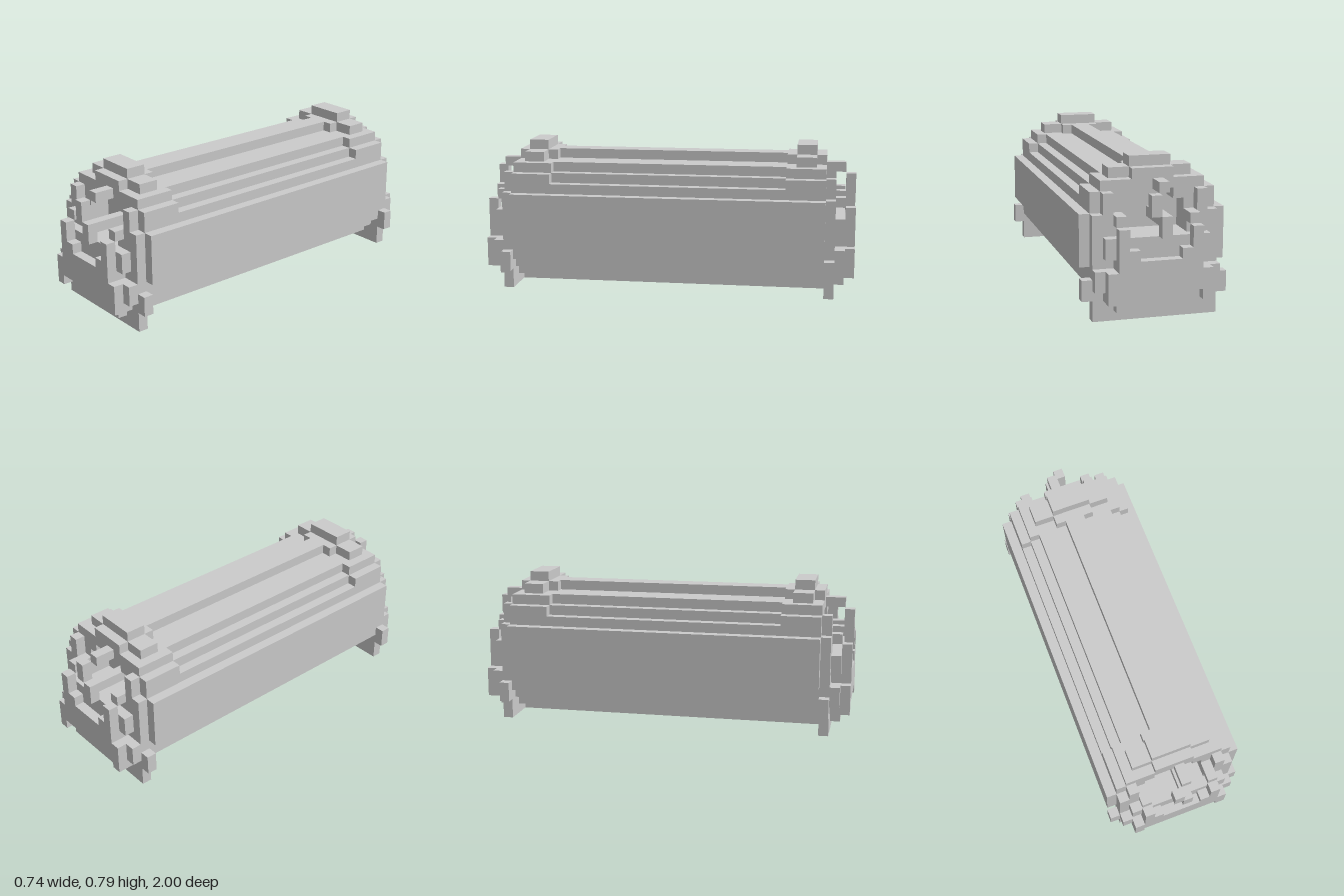
import * as THREE from 'three';

const U = 1 / 19; // one block

export function createModel() {
  const model = new THREE.Group();
  const mat = new THREE.MeshStandardMaterial({ color: 0xcccccc, flatShading: true });

  const box = (parent, name, x0, x1, y0, y1, z0, z1) => {
    const g = new THREE.BoxGeometry((x1 - x0) * U, (y1 - y0) * U, (z1 - z0) * U);
    g.translate((x0 + x1) / 2 * U, (y0 + y1) / 2 * U, (z0 + z1) / 2 * U);
    const m = new THREE.Mesh(g, mat);
    m.name = name;
    parent.add(m);
  };
  const pair = (parent, name, x0, x1, ...rest) => {
    box(parent, name + 'Left', x0, x1, ...rest);
    box(parent, name + 'Right', -x1, -x0, ...rest);
  };

  // Mirrored stepped outline from rows of [half width, top], starting at y = base
  const outline = (base, rows, Type) => {
    const right = [];
    let y = base;
    for (const [w, top] of rows) {
      right.push([w, y], [w, top]);
      y = top;
    }
    const left = right.map(([x, v]) => [-x, v]).reverse();
    return new Type([...right, ...left].map(([x, v]) => new THREE.Vector2(x * U, v * U)));
  };
  const slab = (parent, name, shape, z0, z1) => {
    const g = new THREE.ExtrudeGeometry(shape, { depth: (z1 - z0) * U, bevelEnabled: false });
    g.translate(0, 0, z0 * U);
    const m = new THREE.Mesh(g, mat);
    m.name = name;
    parent.add(m);
  };

  const lower = [[2, 1], [4, 2], [5, 3], [6, 5], [7, 10]];
  const middleRows = [...lower, [6, 11], [5, 12], [4, 13], [1, 14]];
  const endRows = [...lower, [6, 12], [5, 13], [2, 14]];

  // Long stepped barrel between the end sections
  slab(model, 'barrel', outline(0, middleRows, THREE.Shape), -12, 12);

  const buildEnd = (name) => {
    const end = new THREE.Group();
    end.name = name;

    // Thicker end section, hollow at its mouth
    slab(end, 'endSection', outline(0, endRows, THREE.Shape), 12, 14);
    const mouth = outline(0, endRows, THREE.Shape);
    mouth.holes.push(outline(8, [[3, 11], [2, 12]], THREE.Path));
    slab(end, 'mouthRing', mouth, 14, 16);

    // Strap over the top
    box(end, 'strapTop', -2, 2, 14, 15, 13, 15);
    pair(end, 'strapSide', 2, 4, 13, 14, 13, 15);

    // Standing foot plate with side tabs and posts
    box(end, 'footPlate', -6, 6, 0, 8, 16, 17);
    pair(end, 'footTab', 6, 7, 2, 4, 16, 17);
    pair(end, 'sideColumn', 3, 6, 8, 10, 16, 17);
    pair(end, 'upperPost', 4, 5, 10, 12, 16, 17);

    // Inner face layer
    box(end, 'bumper', -4, 4, 1, 3, 17, 18);
    box(end, 'innerFace', -4, 4, 3, 8, 17, 18);
    pair(end, 'lowerBlock', 4, 6, 3, 5, 17, 18);
    pair(end, 'lowerCorner', 4, 5, 2, 3, 17, 18);
    pair(end, 'middleBlock', 4, 5, 6, 8, 17, 18);
    pair(end, 'clip', 3, 4, 9, 10, 17, 18);

    // Outer face plate with a bottom notch and raised sides
    box(end, 'facePlate', -4, 4, 3, 6, 18, 19);
    pair(end, 'faceCorner', 4, 5, 2, 5, 18, 19);
    pair(end, 'faceStep', 2, 3, 6, 7, 18, 19);
    pair(end, 'facePost', 3, 4, 6, 9, 18, 19);

    // Central hook and pin
    box(end, 'hookArm', 0, 1, 12, 13, 16, 18);
    box(end, 'hookTip', -1, 0, 10, 12, 18, 19);
    box(end, 'pin', 0, 1, 8, 10, 18, 19);
    box(end, 'pinStem', 0, 1, 9, 10, 14, 18);
    return end;
  };

  // The rear end is the front end turned half around
  const rear = buildEnd('rearEnd');
  rear.rotation.y = Math.PI;
  model.add(buildEnd('frontEnd'), rear);
  return model;
}
